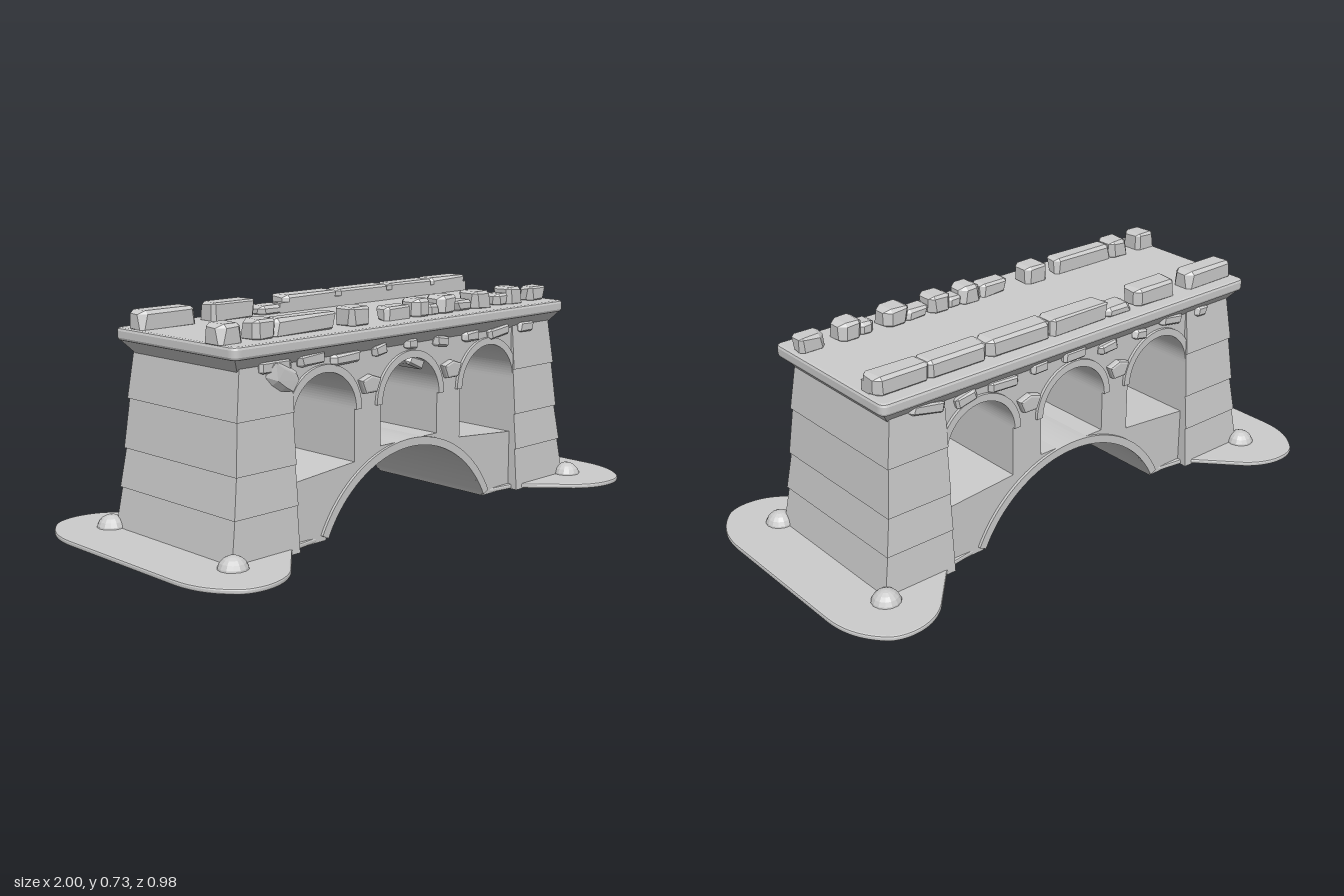
import * as THREE from 'three';
import { ConvexGeometry } from 'three/addons/geometries/ConvexGeometry.js';

const mat = new THREE.MeshStandardMaterial({ color: 0xcccccc, flatShading: true });
const V = (x, y, z) => new THREE.Vector3(x, y, z);

// small seeded generator for the weathered stones
let seed = 7;
const rnd = () => (seed = (seed * 16807) % 2147483647) / 2147483647;

function add(group, name, geo, x = 0, y = 0, z = 0) {
  const m = new THREE.Mesh(geo, mat);
  m.name = name;
  m.position.set(x, y, z);
  group.add(m);
  return m;
}

// box whose bottom and top rectangles differ: [x0, x1, halfZ]
function taper(y0, y1, a, b) {
  const g = new THREE.BoxGeometry(1, 1, 1), p = g.attributes.position;
  for (let i = 0; i < p.count; i++) {
    const top = p.getY(i) > 0, r = top ? b : a;
    p.setXYZ(i, p.getX(i) > 0 ? r[1] : r[0], top ? y1 : y0, Math.sign(p.getZ(i)) * r[2]);
  }
  g.computeVertexNormals();
  return g;
}

// extrusion centred on z = 0
function slab(shape, depth, bevel = 0) {
  const g = new THREE.ExtrudeGeometry(shape, {
    depth: depth - 2 * bevel, curveSegments: 24, bevelEnabled: bevel > 0,
    bevelSize: bevel, bevelThickness: bevel, bevelOffset: -bevel, bevelSegments: 2,
  });
  return g.translate(0, 0, -depth / 2 + bevel);
}

// half ring for an arch edge
function ring(cx, cy, r0, r1, a0, a1) {
  const s = new THREE.Shape();
  s.absarc(cx, cy, r1, a0, a1, false);
  s.absarc(cx, cy, r0, a1, a0, true);
  return s;
}

// chipped stone block with cut corners
function stone(w, h, d, chip = 0.018) {
  const pts = [];
  for (const sx of [-1, 1]) for (const sy of [-1, 1]) for (const sz of [-1, 1]) {
    const c = chip * (0.6 + 0.8 * rnd());
    const x = sx * w / 2, y = sy * h / 2, z = sz * d / 2;
    pts.push(V(x - sx * c, y, z - sz * c * 0.5), V(x, y - sy * c * 0.5, z - sz * c), V(x - sx * c, y - sy * c * 0.5, z));
  }
  return new ConvexGeometry(pts);
}

export function createModel() {
  seed = 7;
  const bridge = new THREE.Group();
  bridge.name = 'ruinedBridge';

  // pierced wall: river arch below, three arched openings above
  const R = 0.425, CY = -0.18, A = Math.asin(-CY / R);
  const wall = new THREE.Shape();
  wall.moveTo(0.57, 0);
  wall.lineTo(0.57, 0.61);
  wall.lineTo(-0.57, 0.61);
  wall.lineTo(-0.57, 0);
  wall.lineTo(-R * Math.cos(A), 0);
  wall.absarc(0, CY, R, Math.PI - A, A, true);
  const openings = [[-0.393, 0.212, 0.235], [0, 0.268, 0.268], [0.393, 0.235, 0.212]];
  const r = 0.137, spring = 0.408;
  for (const [x, yl, yr] of openings) {
    const h = new THREE.Path();
    h.moveTo(x - r, yl);
    h.lineTo(x + r, yr);
    h.lineTo(x + r, spring);
    h.absarc(x, spring, r, 0, Math.PI, false);
    h.lineTo(x - r, yl);
    wall.holes.push(h);
    add(bridge, 'openingTrim', slab(ring(x, spring, r, r + 0.025, 0, Math.PI), 0.53));
  }
  add(bridge, 'archedWall', slab(wall, 0.51));
  add(bridge, 'riverArchTrim', slab(ring(0, CY, R, R + 0.028, A + 0.02, Math.PI - A - 0.02), 0.53));

  // end piers in stepped, tapering courses
  const ys = [0, 0.15, 0.278, 0.44, 0.6];
  const outer = [0.805, 0.785, 0.77, 0.757, 0.74];
  const half = [0.294, 0.287, 0.28, 0.272, 0.264];
  for (const s of [-1, 1]) {
    for (let i = 0; i < 4; i++) {
      const rect = (o, z) => (s > 0 ? [0.53, o, z] : [-o, -0.53, z]);
      add(bridge, 'pierCourse', taper(ys[i], ys[i + 1],
        rect(outer[i], half[i]), rect(outer[i + 1] - 0.005, half[i + 1] - 0.005)));
    }

    // splayed foot plate with domed studs
    const p = new THREE.Shape();
    const X = (x) => x * s;
    p.moveTo(X(0.39), -0.25);
    p.lineTo(X(0.53), -0.27);
    p.lineTo(X(0.57), -0.3);
    p.lineTo(X(0.69), -0.43);
    p.bezierCurveTo(X(0.77), -0.51, X(0.88), -0.5, X(0.92), -0.46);
    p.bezierCurveTo(X(0.97), -0.41, X(1), -0.35, X(1), -0.26);
    p.lineTo(X(1), 0.26);
    p.bezierCurveTo(X(1), 0.35, X(0.97), 0.41, X(0.92), 0.46);
    p.bezierCurveTo(X(0.88), 0.5, X(0.77), 0.51, X(0.69), 0.43);
    p.lineTo(X(0.57), 0.3);
    p.lineTo(X(0.53), 0.27);
    p.lineTo(X(0.39), 0.25);
    add(bridge, 'footPlate', slab(p, 0.018, 0.006).rotateX(-Math.PI / 2), 0, 0.009, 0);
    for (const t of [-1, 1]) {
      const dome = new THREE.SphereGeometry(0.05, 14, 5, 0, Math.PI * 2, 0, Math.PI / 2);
      add(bridge, 'footStud', dome, s * 0.81, 0.008, t * 0.307);
    }
  }

  // flared cornice and rounded deck
  add(bridge, 'cornice', taper(0.585, 0.635, [-0.735, 0.735, 0.25], [-0.775, 0.775, 0.288]));
  const d = new THREE.Shape(), dx = 0.783, dz = 0.296, c = 0.03;
  d.moveTo(-dx + c, -dz);
  d.lineTo(dx - c, -dz);
  d.quadraticCurveTo(dx, -dz, dx, -dz + c);
  d.lineTo(dx, dz - c);
  d.quadraticCurveTo(dx, dz, dx - c, dz);
  d.lineTo(-dx + c, dz);
  d.quadraticCurveTo(-dx, dz, -dx, dz - c);
  d.lineTo(-dx, -dz + c);
  d.quadraticCurveTo(-dx, -dz, -dx + c, -dz);
  add(bridge, 'deck', slab(d, 0.042, 0.01).rotateX(-Math.PI / 2), 0, 0.649, 0);

  // shield corbels and chipped stones under the cornice, both faces
  for (const s of [-1, 1]) {
    for (const x of [-0.197, 0.197]) {
      const k = new THREE.Shape([[-0.045, 0.5], [-0.025, 0.455], [0.025, 0.455], [0.045, 0.5], [0, 0.515]]
        .map(([a, b]) => new THREE.Vector2(a, b)));
      add(bridge, 'corbel', slab(k, 0.05, 0.008), x, 0, s * 0.253);
    }
    for (let i = 0; i < 9; i++) {
      const m = add(bridge, 'corniceChip', stone(0.06 + 0.07 * rnd(), 0.035, 0.03, 0.012),
        -0.6 + i * 0.15, 0.575 + 0.02 * rnd(), s * 0.258);
      m.rotation.z = (rnd() - 0.5) * 0.5;
    }
  }
  const crack = add(bridge, 'brokenStone', stone(0.11, 0.08, 0.04, 0.03), -0.575, 0.555, 0.262);
  crack.rotation.z = -0.6;
  const shard = add(bridge, 'hangingShard', stone(0.09, 0.035, 0.1, 0.015), 0.04, 0.525, 0.2);
  shard.rotation.z = -0.4;

  // ruined parapets: [x0, x1, height]
  const front = [[-0.785, -0.695, 0.06], [-0.65, -0.56, 0.06], [-0.57, -0.3, 0.055], [-0.25, -0.155, 0.06],
    [-0.08, 0.04, 0.045], [0.05, 0.135, 0.06], [0.12, 0.19, 0.035], [0.175, 0.265, 0.06], [0.26, 0.36, 0.035],
    [0.35, 0.445, 0.06], [0.48, 0.55, 0.04], [0.535, 0.62, 0.06], [0.67, 0.765, 0.05]];
  for (const [x0, x1, h] of front)
    add(bridge, 'frontParapetStone', stone(x1 - x0, h + 0.006, h > 0.055 ? 0.085 : 0.065), (x0 + x1) / 2, 0.667 + h / 2, 0.195);
  const back = [[-0.77, -0.55, 0.06], [-0.485, -0.3, 0.06], [-0.28, -0.16, 0.03], [-0.17, 0.08, 0.058],
    [0.08, 0.34, 0.058], [0.34, 0.58, 0.058], [0.56, 0.765, 0.06]];
  for (const [x0, x1, h] of back)
    add(bridge, 'backParapetStone', stone(x1 - x0, h + 0.006, 0.08), (x0 + x1) / 2, 0.667 + h / 2, -0.205);
  add(bridge, 'backParapetBeam', new THREE.BoxGeometry(0.96, 0.04, 0.04), 0.285, 0.685, -0.185);

  return bridge;
}
